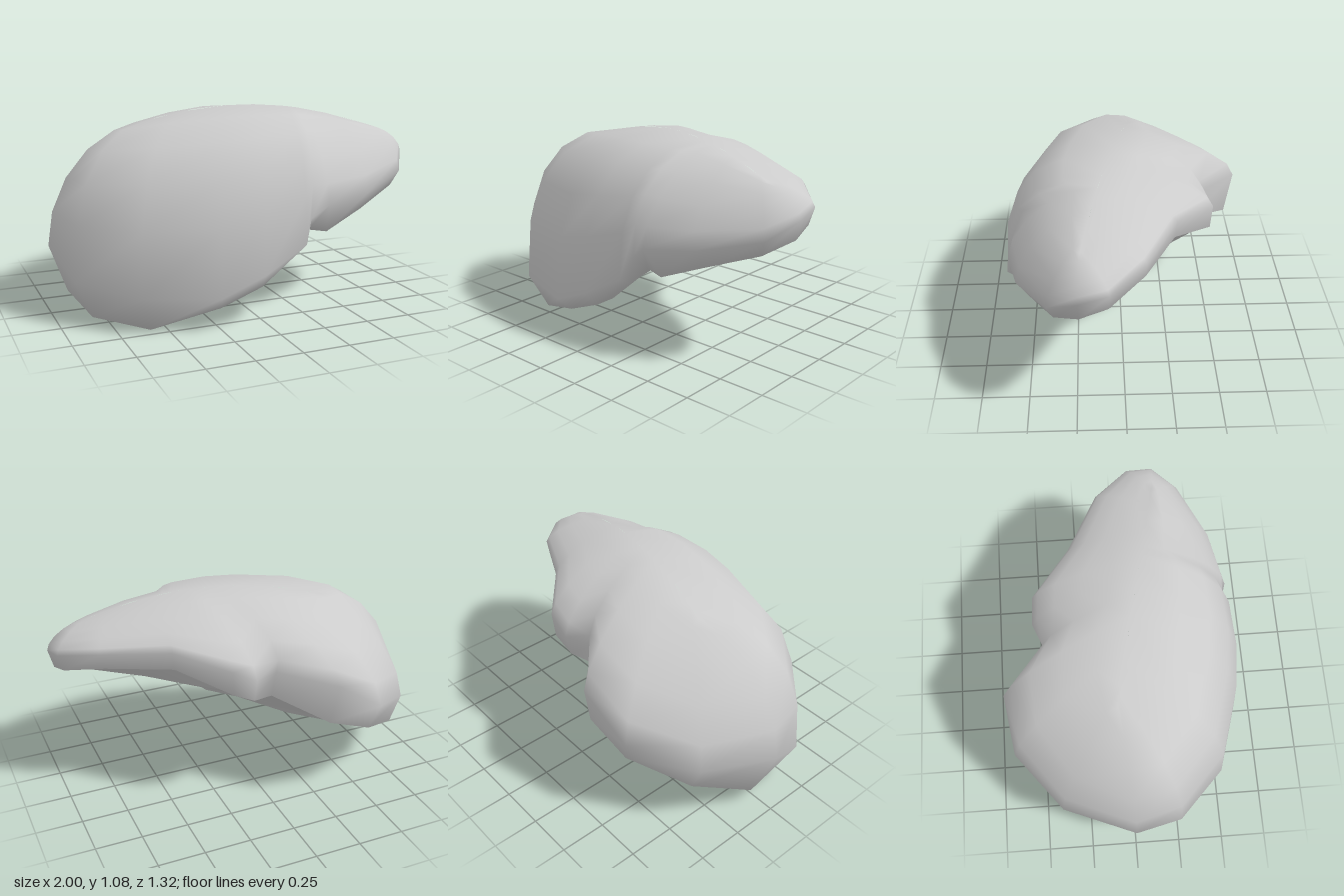
import * as THREE from 'three';

// Outline stations around the body: front notch, big lobe, back notch, small lobe.
// Each holds the widest rim point (x, y, z) and the underside edge point (x, y, z).
const STATIONS = [
  [0.25, 0.54, 0.58, 0.3, 0.475, 0.40],
  [0.2, 0.42, 0.63, 0.19, 0.39, 0.455],
  [-0.04, 0.29, 0.655, 0, 0.22, 0.48],
  [-0.27, 0.19, 0.635, -0.21, 0.13, 0.47],
  [-0.65, 0.2, 0.52, -0.5, 0.015, 0.34],
  [-0.92, 0.24, 0.26, -0.7, 0.03, 0.1],
  [-1, 0.38, 0, -0.77, 0.11, -0.12],
  [-0.85, 0.43, -0.39, -0.71, 0.29, -0.385],
  [-0.56, 0.55, -0.63, -0.46, 0.42, -0.55],
  [-0.28, 0.74, -0.66, -0.24, 0.52, -0.565],
  [-0.04, 0.76, -0.42, 0, 0.63, -0.385],
  [0.1, 0.77, -0.49, 0.1, 0.655, -0.425],
  [0.23, 0.84, -0.48, 0.2, 0.715, -0.46],
  [0.47, 0.9, -0.27, 0.445, 0.815, -0.25],
  [0.8, 0.88, -0.1, 0.755, 0.81, -0.09],
  [0.98, 0.83, 0.08, 0.915, 0.75, 0.09],
  [1, 0.8, 0.23, 0.94, 0.71, 0.22],
  [0.9, 0.71, 0.38, 0.825, 0.64, 0.31],
  [0.6, 0.64, 0.545, 0.625, 0.55, 0.355],
  [0.34, 0.61, 0.605, 0.42, 0.455, 0.4],
];
const FRONT_NOTCH = 0;
const BACK_NOTCH = 10;
const N = STATIONS.length;
const rim = STATIONS.map((s) => new THREE.Vector3(s[0], s[1], s[2]));
const edge = STATIONS.map((s) => new THREE.Vector3(s[3], s[4], s[5]));

// Fullness of the dome above each station: the front of the big lobe is a steep, boxy wall
const FULLNESS = [2.2, 2.4, 2.5, 2.5, 2.5, 2.4, 1.9];
const fullnessAt = (i) => FULLNESS[i] ?? 1.65;

// Crest line along the top of the dome
function crestAt(x) {
  const u = x - 0.2;
  return new THREE.Vector3(x, 1.08 - 0.058 * u - 0.278 * u * u, 0.04 + 0.22 * x);
}

function makeGeometry(points, index) {
  const geometry = new THREE.BufferGeometry().setFromPoints(points);
  geometry.setIndex(index);
  geometry.computeVertexNormals();
  return geometry;
}

// Rounded wall and dome: underside edge, lower bulge, rim, then arcs to the crest
function domeGeometry() {
  const ARCS = 5;
  const bulge = edge.map((e, i) => new THREE.Vector3(
    THREE.MathUtils.lerp(e.x, rim[i].x, 0.55),
    THREE.MathUtils.lerp(e.y, rim[i].y, 0.03) - 0.015,
    THREE.MathUtils.lerp(e.z, rim[i].z, 0.55),
  ));
  const points = [...edge, ...bulge, ...rim];
  for (let r = 1; r <= ARCS; r++) {
    const t = (r / ARCS) * Math.PI / 2;
    rim.forEach((rimPoint, i) => {
      const power = 2 / fullnessAt(i);
      const out = r === ARCS ? 0 : Math.pow(Math.cos(t), power);
      const up = Math.pow(Math.sin(t), power);
      const p = rimPoint.clone();
      // The notches fade out towards the top
      if (i === FRONT_NOTCH || i === BACK_NOTCH) {
        const between = rim[(i + N - 1) % N].clone().lerp(rim[i + 1], 0.5);
        p.lerp(between, Math.sin(t));
      }
      const s = crestAt(0.17 + 0.63 * p.x);
      points.push(new THREE.Vector3(
        s.x + (p.x - s.x) * out,
        p.y + (s.y - p.y) * up,
        s.z + (p.z - s.z) * out,
      ));
    });
  }
  const index = [];
  for (let r = 0; r < ARCS + 2; r++) {
    for (let i = 0; i < N; i++) {
      const j = (i + 1) % N;
      const a = r * N + i, b = r * N + j;
      index.push(a, a + N, b, b, a + N, b + N);
    }
  }
  const geometry = makeGeometry(points, index);
  // Both sides of the crest share upward normals so the top stays smooth
  const normal = geometry.attributes.normal;
  for (let i = points.length - N; i < points.length; i++) {
    const n = new THREE.Vector3(0.058 + 0.556 * (points[i].x - 0.2), 1, 0).normalize();
    normal.setXYZ(i, n.x, n.y, n.z);
  }
  return geometry;
}

// Underside: a fan for each lobe, meeting in the valley between the notches
function undersideGeometry() {
  const valleyFront = N, valleyBack = N + 1, bigCentre = N + 2, smallCentre = N + 3;
  const points = [
    ...edge,
    new THREE.Vector3(0.215, 0.54, 0.16),
    new THREE.Vector3(0.07, 0.53, -0.17),
    new THREE.Vector3(-0.3, 0.31, -0.05),
    new THREE.Vector3(0.52, 0.63, 0.05),
  ];
  const index = [];
  const fan = (centre, loop) => loop.forEach((v, i) => index.push(centre, v, loop[(i + 1) % loop.length]));
  const ids = edge.map((_, i) => i);
  fan(bigCentre, [...ids.slice(0, BACK_NOTCH + 1), valleyBack, valleyFront]);
  fan(smallCentre, [...ids.slice(BACK_NOTCH), FRONT_NOTCH, valleyFront, valleyBack]);
  return makeGeometry(points, index);
}

export function createModel() {
  const group = new THREE.Group();
  group.name = 'twoLobedOrgan';
  const material = new THREE.MeshStandardMaterial({ color: 0xcccccc });
  const parts = { dome: domeGeometry(), underside: undersideGeometry() };
  for (const [name, geometry] of Object.entries(parts)) {
    const mesh = new THREE.Mesh(geometry, material);
    mesh.name = name;
    group.add(mesh);
  }
  return group;
}
